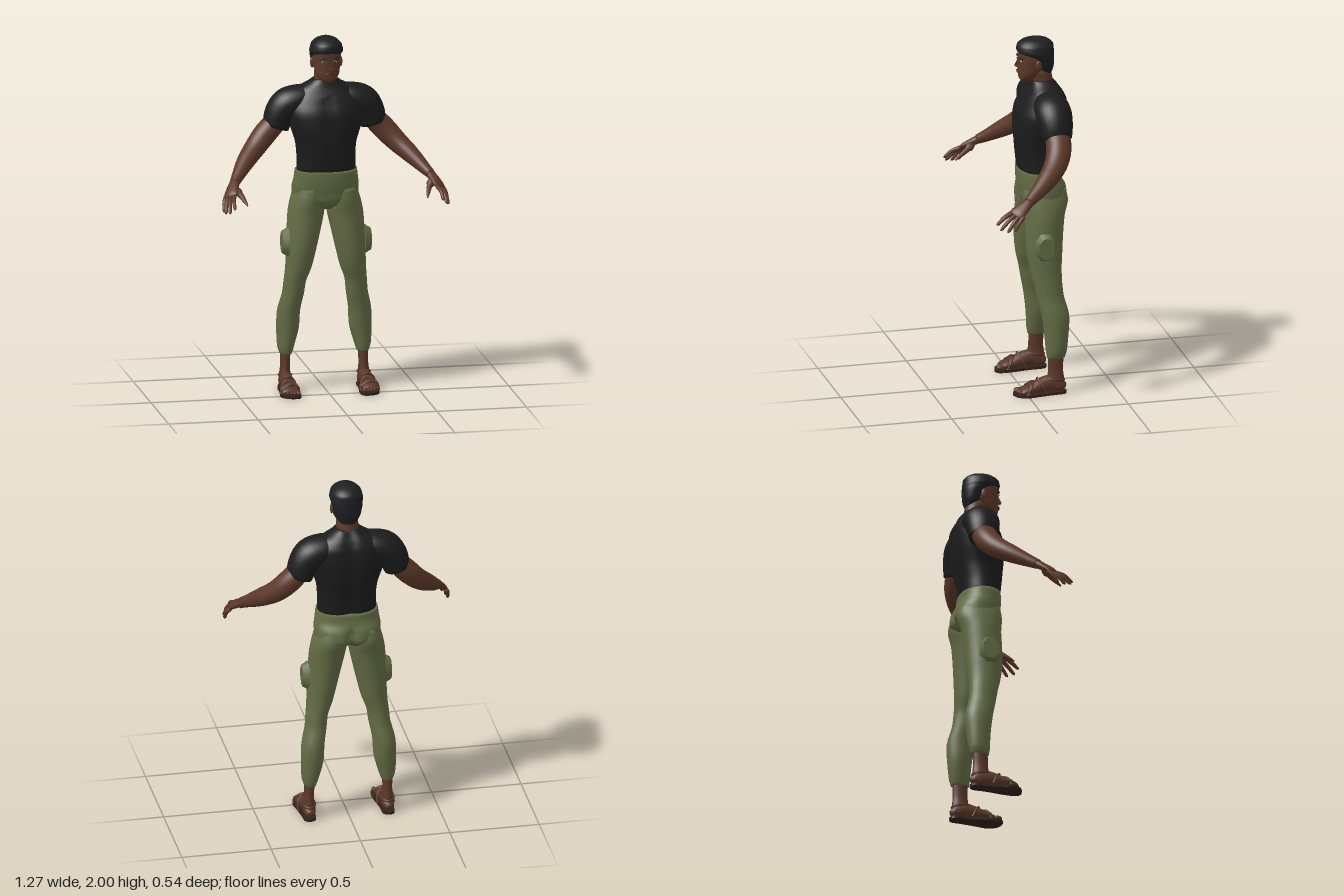
import * as THREE from 'three';

const paint = (name, color) => {
  const m = new THREE.MeshStandardMaterial({ color });
  m.name = name;
  return m;
};
const skin = paint('skin', 0x5c3829);
const hairBlack = paint('hair black', 0x1d1f21);
const shirtBlack = paint('shirt black', 0x1c1c1d);
const olive = paint('olive cloth', 0x636b44);
const leather = paint('sandal leather', 0x55352a);
const soleBrown = paint('sole brown', 0x33211c);
const lipBrown = paint('lip brown', 0x4a2823);
const eyeWhite = paint('eye white', 0xa8a09a);

const UP = new THREE.Vector3(0, 1, 0);
const Z = new THREE.Vector3(0, 0, 1);

// Smooth skin over rings [x, y, z, half width, half depth]; level rings stay horizontal.
function loft(name, material, rings, { level = false, ref = Z, sides = 28, steps = 4, power = 2, shape } = {}) {
  const path = new THREE.CatmullRomCurve3(rings.map(r => new THREE.Vector3(r[0], r[1], r[2])));
  const size = new THREE.CatmullRomCurve3(rings.map(r => new THREE.Vector3(r[3], r[4], 0)));
  const n = (rings.length - 1) * steps;
  const pos = [], index = [];
  const bend = (v) => Math.sign(v) * Math.abs(v) ** (2 / power);
  const add = (p) => { if (shape) shape(p); pos.push(p.x, p.y, p.z); };
  for (let i = 0; i <= n; i++) {
    const c = path.getPoint(i / n), s = size.getPoint(i / n);
    const t = level ? UP : path.getTangent(i / n);
    const u = ref.clone().addScaledVector(t, -ref.dot(t)).normalize();
    const v = t.clone().cross(u);
    for (let j = 0; j < sides; j++) {
      const a = j / sides * Math.PI * 2;
      add(c.clone().addScaledVector(v, bend(Math.cos(a)) * s.x).addScaledVector(u, bend(Math.sin(a)) * s.y));
    }
  }
  for (let i = 0; i < n; i++) for (let j = 0; j < sides; j++) {
    const k = (j + 1) % sides, a = i * sides + j, b = i * sides + k;
    index.push(a, a + sides, b, b, a + sides, b + sides);
  }
  // End caps
  const first = pos.length / 3;
  add(path.getPoint(0));
  add(path.getPoint(1));
  for (let j = 0; j < sides; j++) {
    const k = (j + 1) % sides;
    index.push(first, j, k, first + 1, n * sides + k, n * sides + j);
  }
  const g = new THREE.BufferGeometry();
  g.setAttribute('position', new THREE.Float32BufferAttribute(pos, 3));
  g.setIndex(index);
  g.computeVertexNormals();
  const mesh = new THREE.Mesh(g, material);
  mesh.name = name;
  return mesh;
}

// Level rings centred on x = 0: [y, z, half width, half depth]
const body = (name, mat, rows, opts) =>
  loft(name, mat, rows.map(([y, z, w, d]) => [0, y, z, w, d]), { level: true, ...opts });

function ball(name, mat, x, y, z, rx, ry, rz) {
  const m = new THREE.Mesh(new THREE.SphereGeometry(1, 16, 12), mat);
  m.name = name;
  m.position.set(x, y, z);
  m.scale.set(rx, ry, rz);
  return m;
}

function makeHead() {
  const g = new THREE.Group();
  g.name = 'head';
  g.add(
    body('neck', skin, [[1.66, -.15, .07, .066], [1.73, -.14, .062, .062], [1.82, -.125, .06, .06]]),
    body('face', skin, [[1.755, -.055, .028, .036], [1.77, -.056, .047, .048], [1.8, -.067, .064, .062],
      [1.84, -.09, .073, .085], [1.88, -.096, .078, .091], [1.92, -.1, .08, .096], [1.96, -.1, .07, .085],
      [1.985, -.1, .03, .04]], { power: 2.2 }),
    body('hair', hairBlack, [[1.79, -.15, .045, .04], [1.83, -.145, .07, .057], [1.88, -.135, .083, .07],
      [1.905, -.116, .088, .089], [1.925, -.101, .092, .103], [1.96, -.1, .083, .1], [1.985, -.1, .056, .07],
      [2, -.1, .018, .025]], { power: 2.15 }),
    loft('nose', skin, [[0, 1.885, -.01, .008, .007], [0, 1.855, .001, .011, .01], [0, 1.84, .003, .018, .012],
      [0, 1.832, -.004, .012, .008]], { level: true, sides: 12 }),
    ball('upperLip', lipBrown, 0, 1.812, -.004, .024, .005, .009),
    ball('lowerLip', lipBrown, 0, 1.804, -.005, .021, .005, .009));
  for (const s of [1, -1]) {
    const brow = ball('brow', hairBlack, s * .035, 1.892, -.011, .022, .004, .008);
    brow.rotation.set(0, s * .35, s * .12);
    g.add(brow,
      ball('eye', eyeWhite, s * .032, 1.874, -.012, .012, .005, .007),
      ball('pupil', hairBlack, s * .032, 1.874, -.007, .005, .005, .004),
      ball('ear', skin, s * .08, 1.855, -.1, .01, .03, .018));
  }
  return g;
}

function makeArm(s) {
  const g = new THREE.Group();
  g.name = s > 0 ? 'leftArm' : 'rightArm';
  const flip = rows => rows.map(([x, ...rest]) => [s * x, ...rest]);
  g.add(
    loft('sleeve', shirtBlack, flip([[.09, 1.645, -.15, .075, .085], [.15, 1.64, -.15, .08, .097],
      [.21, 1.615, -.152, .088, .1], [.25, 1.56, -.155, .084, .093], [.272, 1.49, -.155, .073, .082]])),
    loft('arm', skin, flip([[.25, 1.54, -.155, .06, .07], [.33, 1.455, -.15, .064, .07],
      [.395, 1.385, -.115, .058, .064], [.46, 1.325, -.05, .049, .054], [.525, 1.26, .04, .033, .036],
      [.55, 1.235, .08, .026, .03]])));
  // Hand: flat palm, four fingers and a thumb
  const across = new THREE.Vector3(s * .45, 0, -.89);
  g.add(loft('palm', skin, flip([[.545, 1.24, .07, .024, .028], [.565, 1.215, .11, .021, .038],
    [.58, 1.192, .145, .018, .044], [.588, 1.178, .163, .011, .036]]), { ref: across }));
  const tips = [[.583, 1.133, .268], [.608, 1.108, .252], [.624, 1.098, .215], [.626, 1.1, .175]];
  tips.forEach(([x, y, z], i) => {
    const f = i / 3, bx = .568 + .037 * f, by = 1.188 - .012 * f, bz = .175 - .055 * f;
    g.add(loft('finger', skin, flip([[bx, by, bz, .012, .012],
      [(bx + x) / 2 + .004, (by + y) / 2 + .008, (bz + z) / 2, .011, .011],
      [bx + (x - bx) * .9, by + (y - by) * .9, bz + (z - bz) * .9, .009, .009],
      [x, y, z, .003, .003]]), { sides: 10, ref: across }));
  });
  g.add(loft('thumb', skin, flip([[.555, 1.215, .105, .016, .016], [.53, 1.188, .145, .016, .016],
    [.513, 1.16, .19, .011, .011], [.503, 1.14, .222, .004, .004]]), { sides: 10 }));
  return g;
}

function makeLeg(s) {
  const g = new THREE.Group();
  g.name = s > 0 ? 'leftLeg' : 'rightLeg';
  const flip = rows => rows.map(([x, ...rest]) => [s * x, ...rest]);
  g.add(
    loft('trouserLeg', olive, flip([[.215, .205, -.163, .033, .05], [.215, .24, -.165, .045, .058],
      [.203, .35, -.168, .062, .069], [.198, .45, -.163, .063, .077], [.178, .55, -.14, .06, .076],
      [.17, .62, -.13, .061, .079], [.152, .7, -.12, .072, .09], [.138, .8, -.117, .083, .1],
      [.124, .9, -.12, .092, .105], [.11, 1, -.127, .1, .11], [.098, 1.08, -.134, .096, .125],
      [.09, 1.15, -.13, .08, .115]]), { level: true }),
    loft('ankle', skin, flip([[.22, .03, -.165, .034, .045], [.22, .09, -.16, .031, .047],
      [.219, .14, -.16, .026, .042], [.217, .24, -.163, .03, .044]]), { level: true, sides: 20 }),
    loft('foot', skin, flip([[.22, .04, -.215, .015, .015], [.22, .045, -.195, .03, .03],
      [.22, .062, -.14, .035, .046], [.221, .055, -.08, .039, .041], [.223, .042, -.02, .046, .027],
      [.224, .032, .025, .047, .017], [.224, .027, .04, .04, .01]]), { ref: UP, sides: 20 }));

  // Side pocket patch with a raised middle
  const pocket = new THREE.Mesh(new THREE.CylinderGeometry(.75, 1, 1, 8), olive);
  pocket.name = 'thighPocket';
  pocket.geometry.rotateY(Math.PI / 8);
  pocket.geometry.rotateZ(-s * Math.PI / 2);
  pocket.material = olive;
  pocket.position.set(s * .23, .845, -.105);
  pocket.scale.set(.036, .085, .064);
  g.add(pocket);

  // Toes
  for (let i = 0; i < 5; i++) {
    const big = i === 0;
    g.add(ball('toe', skin, s * (.187 + i * .0185 + (big ? -.002 : 0)), .027, .045 - i * i * .0017,
      big ? .013 : .0095, big ? .013 : .01, .024));
  }

  // Sandal sole
  const outline = new THREE.Shape();
  outline.setFromPoints(new THREE.SplineCurve(
    [[.22, .222], [.188, .2], [.183, .12], [.168, .01], [.17, -.055], [.2, -.076], [.25, -.06], [.277, -.01],
      [.268, .06], [.257, .14], [.25, .205], [.22, .222]].map(([x, z]) => new THREE.Vector2(s * x, z))).getPoints(48));
  const sole = new THREE.Mesh(new THREE.ExtrudeGeometry(outline, { depth: .015, bevelEnabled: false }), soleBrown);
  sole.name = 'sandalSole';
  sole.rotation.x = -Math.PI / 2;
  g.add(sole);

  // Straps: [half width, top height, z at the top, z at the sole]
  for (const [w, h, zTop, zLow] of [[.051, .063, .005, 0], [.045, .095, -.055, -.1], [.05, .078, -.03, .01]]) {
    const arch = new THREE.CatmullRomCurve3([[-w, .014, zLow], [-w * .88, h * .65, (zTop + zLow) / 2], [0, h, zTop],
      [w * .88, h * .65, (zTop + zLow) / 2], [w, .014, zLow]].map(([x, y, z]) => new THREE.Vector3(s * .222 + x, y, z)));
    const strap = new THREE.Mesh(new THREE.TubeGeometry(arch, 24, .007, 8), leather);
    strap.name = 'sandalStrap';
    g.add(strap);
  }
  const heel = new THREE.Mesh(new THREE.TorusGeometry(1, .13, 8, 28), leather);
  heel.name = 'heelStrap';
  heel.position.set(s * .22, .085, -.155);
  heel.rotation.x = Math.PI / 2 - .15;
  heel.scale.set(.035, .052, .05);
  g.add(heel);
  return g;
}

export function createModel() {
  const man = new THREE.Group();
  man.name = 'man';
  // Shirt with a shallow groove down the spine and between the chest muscles
  man.add(body('shirt', shirtBlack, [[1.245, -.112, .163, .109], [1.32, -.111, .162, .117], [1.4, -.116, .168, .129],
    [1.5, -.123, .198, .142], [1.58, -.131, .212, .14], [1.66, -.147, .195, .117], [1.705, -.15, .15, .092],
    [1.735, -.145, .095, .075], [1.757, -.14, .064, .065]], {
    sides: 48, power: 2.25,
    shape: p => {
      const dip = .014 * Math.exp(-((p.x / .035) ** 2));
      if (p.z < -.2) p.z += dip;
      else if (p.z > -.03 && p.y > 1.43) p.z -= dip * .5;
    },
  }));
  // Trouser seat, closed at the crotch
  man.add(body('trouserSeat', olive, [[1.03, -.125, .05, .06], [1.06, -.13, .13, .105], [1.1, -.138, .183, .13],
    [1.15, -.132, .185, .13], [1.2, -.117, .178, .119], [1.252, -.113, .172, .115]], {
    sides: 48, power: 2.2,
    shape: p => {
      if (p.z < -.17 && p.y < 1.19) p.z += .035 * Math.exp(-((p.x / .022) ** 2)) * Math.min(1, (1.19 - p.y) / .05);
    },
  }));
  man.add(makeHead());
  for (const s of [1, -1]) man.add(makeArm(s), makeLeg(s));
  return man;
}
